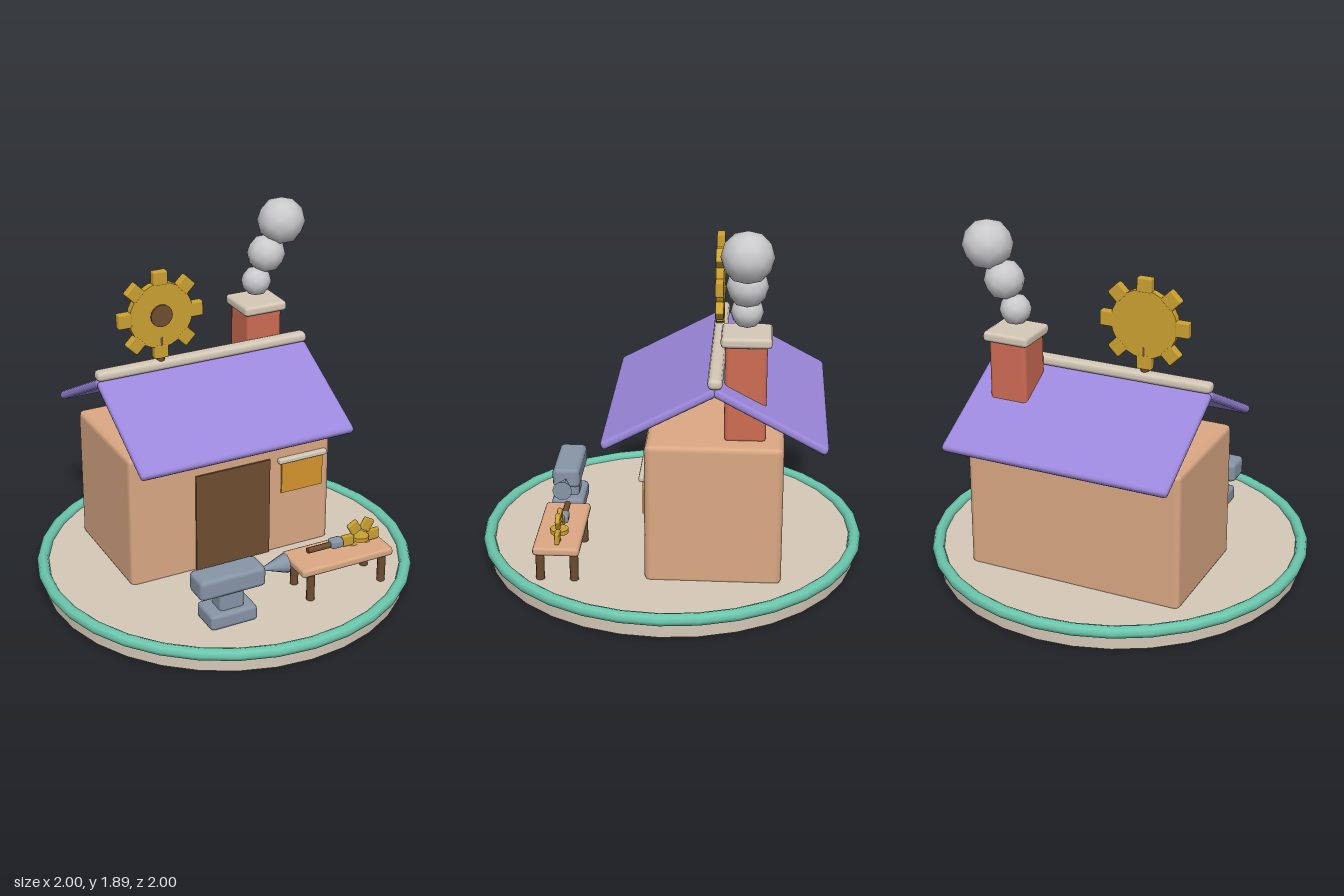
import * as THREE from 'three';
import { RoundedBoxGeometry } from 'three/addons/geometries/RoundedBoxGeometry.js';

const paint = (name, color) => {
  const m = new THREE.MeshStandardMaterial({ color });
  m.name = name;
  return m;
};

export function createModel() {
  const model = new THREE.Group();
  model.name = 'workshop';

  const stone = paint('stone', 0xd6cab8);
  const teal = paint('teal', 0x6cc8ae);
  const clay = paint('clay', 0xdca985);
  const violet = paint('violet', 0x9c88dc);
  const brick = paint('brick', 0xcf6d54);
  const wood = paint('wood', 0x6f4e30);
  const gold = paint('gold', 0xcda232);
  const amber = paint('amber', 0xd8962f);
  const steel = paint('steel', 0x8896a8);
  const smoke = paint('smoke', 0xcbcbce);

  const add = (name, geometry, material, x, y, z, parent = model) => {
    const mesh = new THREE.Mesh(geometry, material);
    mesh.name = name;
    mesh.position.set(x, y, z);
    parent.add(mesh);
    return mesh;
  };
  // soft-edged block given by its extents
  const block = (name, material, x0, x1, y0, y1, z0, z1, r = 0.02, parent = model) =>
    add(name, new RoundedBoxGeometry(x1 - x0, y1 - y0, z1 - z0, 1, r), material,
      (x0 + x1) / 2, (y0 + y1) / 2, (z0 + z1) / 2, parent);
  const group = (name, x = 0, y = 0, z = 0) => {
    const g = new THREE.Group();
    g.name = name;
    g.position.set(x, y, z);
    model.add(g);
    return g;
  };
  // ring of teeth in the xy plane
  const teeth = (parent, count, radius, length, width, depth) => {
    for (let i = 0; i < count; i++) {
      const a = (i / count) * Math.PI * 2;
      const tooth = add('tooth', new RoundedBoxGeometry(length, width, depth, 1, 0.008), gold,
        Math.cos(a) * radius, Math.sin(a) * radius, 0, parent);
      tooth.rotation.z = a;
    }
  };

  // round base with rim
  add('base', new THREE.CylinderGeometry(0.965, 0.965, 0.1, 32), stone, 0, 0.05, 0);
  add('rim', new THREE.TorusGeometry(0.967, 0.032, 8, 32), teal, 0, 0.098, 0).rotation.x = Math.PI / 2;

  // house body, door and window
  block('walls', clay, -0.582, 0.582, 0.08, 0.825, -0.578, 0.102, 0.03);
  add('door', new THREE.BoxGeometry(0.43, 0.555, 0.02), wood, 0, 0.3775, 0.102);
  add('window', new THREE.BoxGeometry(0.245, 0.19, 0.02), amber, 0.408, 0.535, 0.102);
  block('windowLintel', stone, 0.263, 0.55, 0.618, 0.647, 0.08, 0.13, 0.01);

  // two roof slopes and the ridge
  for (const s of [1, -1]) {
    const slope = add('roofSlope', new RoundedBoxGeometry(1.205, 0.046, 0.625, 1, 0.02), violet,
      0, 0.968, -0.24 + s * 0.272);
    slope.rotation.x = s * 0.493;
  }
  block('ridge', stone, -0.605, 0.605, 1.127, 1.183, -0.278, -0.204, 0.024);

  // chimney and smoke puffs
  block('chimney', brick, 0.283, 0.487, 0.815, 1.32, -0.487, -0.283);
  block('chimneyCap', stone, 0.262, 0.51, 1.305, 1.36, -0.51, -0.262);
  for (const [x, y, r] of [[0.385, 1.455, 0.08], [0.443, 1.6, 0.102], [0.53, 1.768, 0.127]]) {
    add('smokePuff', new THREE.IcosahedronGeometry(r, 1), smoke, x, y, -0.385);
  }

  // rooftop gear on its post
  const gear = group('rooftopGear', -0.245, 1.43, -0.237);
  add('gearDisc', new THREE.CylinderGeometry(0.175, 0.175, 0.04, 20), gold, 0, 0, 0, gear).rotation.x = Math.PI / 2;
  teeth(gear, 8, 0.198, 0.075, 0.08, 0.044);
  add('gearHub', new THREE.CylinderGeometry(0.06, 0.06, 0.03, 16), wood, 0, 0, 0.014, gear).rotation.x = Math.PI / 2;
  add('gearPost', new THREE.CylinderGeometry(0.022, 0.022, 0.16, 10), wood, 0, -0.2, 0, gear);

  // anvil
  const anvil = group('anvil');
  block('anvilFoot', steel, -0.402, -0.143, 0.095, 0.18, 0.49, 0.665, 0.02, anvil);
  block('anvilWaist', steel, -0.338, -0.2, 0.165, 0.285, 0.522, 0.632, 0.02, anvil);
  block('anvilBody', steel, -0.452, -0.088, 0.268, 0.38, 0.503, 0.651, 0.025, anvil);
  add('anvilHorn', new THREE.ConeGeometry(0.053, 0.155, 10), steel, -0.02, 0.324, 0.577, anvil).rotation.z = Math.PI / 2;

  // workbench
  const bench = group('workbench');
  block('benchTop', clay, 0.118, 0.652, 0.248, 0.293, 0.418, 0.652, 0.016, bench);
  for (const x of [0.18, 0.6]) for (const z of [0.45, 0.62]) {
    add('benchLeg', new THREE.CylinderGeometry(0.022, 0.022, 0.16, 8), wood, x, 0.178, z, bench);
  }

  // hammer lying on the bench
  const hammer = group('hammer');
  add('hammerHandle', new THREE.CylinderGeometry(0.016, 0.016, 0.14, 8), wood, 0.28, 0.327, 0.528, hammer).rotation.z = Math.PI / 2;
  block('hammerHead', steel, 0.34, 0.412, 0.308, 0.356, 0.5, 0.557, 0.014, hammer);

  // small gear standing in the bench, with a flat hub
  const smallGear = group('smallGear', 0.52, 0.33, 0.53);
  add('smallGearHub', new THREE.CylinderGeometry(0.046, 0.046, 0.022, 14), gold, 0, 0, 0, smallGear);
  teeth(smallGear, 6, 0.075, 0.07, 0.062, 0.024);

  return model;
}
